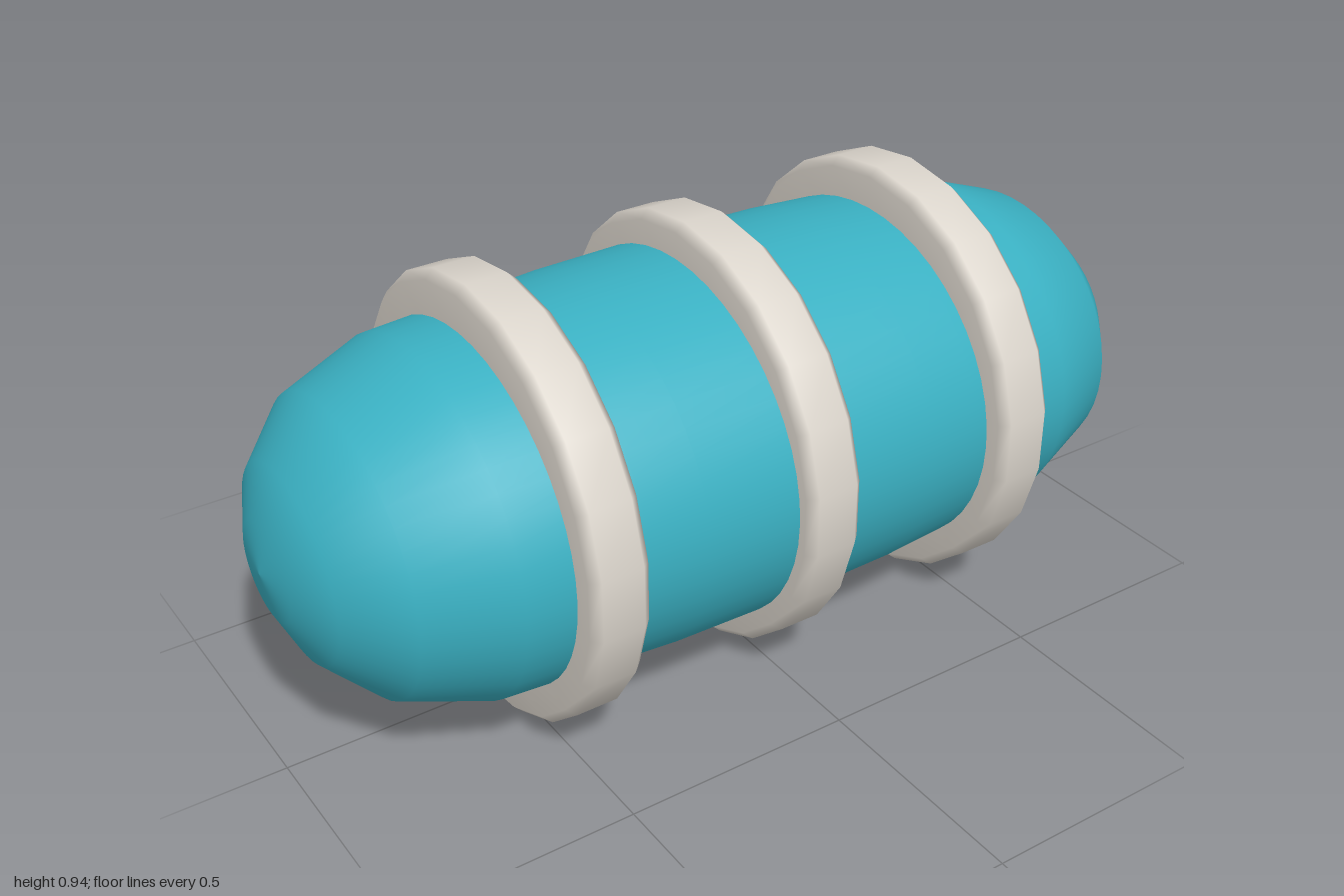
import * as THREE from 'three';

const CENTRE_Y = 0.472;

// Lathe turned so its axis runs along x; profile points are [radius, x]
function turned(name, profile, sides, material) {
  const points = profile.map(([r, x]) => new THREE.Vector2(r, x));
  const geometry = new THREE.LatheGeometry(points, sides, Math.PI / 2);
  geometry.rotateZ(-Math.PI / 2);
  const mesh = new THREE.Mesh(geometry, material);
  mesh.name = name;
  mesh.position.y = CENTRE_Y;
  return mesh;
}

export function createModel() {
  const model = new THREE.Group();
  model.name = 'bandedCapsule';

  const teal = new THREE.MeshStandardMaterial({ color: 0x3ab0c2 });
  teal.name = 'teal shell';
  const ivory = new THREE.MeshStandardMaterial({ color: 0xdad4cb });
  ivory.name = 'ivory band';

  // Capsule body: half profile mirrored about x = 0, slightly wider in depth
  const half = [
    [0, 1], [0.1, 0.985], [0.2, 0.94], [0.305, 0.835],
    [0.37, 0.655], [0.385, 0.4], [0.393, 0.27],
  ];
  const bodyProfile = [
    ...half.map(([r, x]) => [r, -x]),
    [0.397, 0],
    ...half.slice().reverse(),
  ];
  const body = turned('body', bodyProfile, 48, teal);
  body.scale.z = 1.092;
  model.add(body);

  // Three soft-edged bands around the body
  const bandProfile = [
    [0.33, -0.065], [0.453, -0.065], [0.472, -0.045],
    [0.472, 0.045], [0.453, 0.065], [0.33, 0.065],
  ];
  ['rightBand', 'middleBand', 'leftBand'].forEach((name, i) => {
    const band = turned(name, bandProfile, 22, ivory);
    band.position.x = (i - 1) * 0.489;
    model.add(band);
  });

  return model;
}
